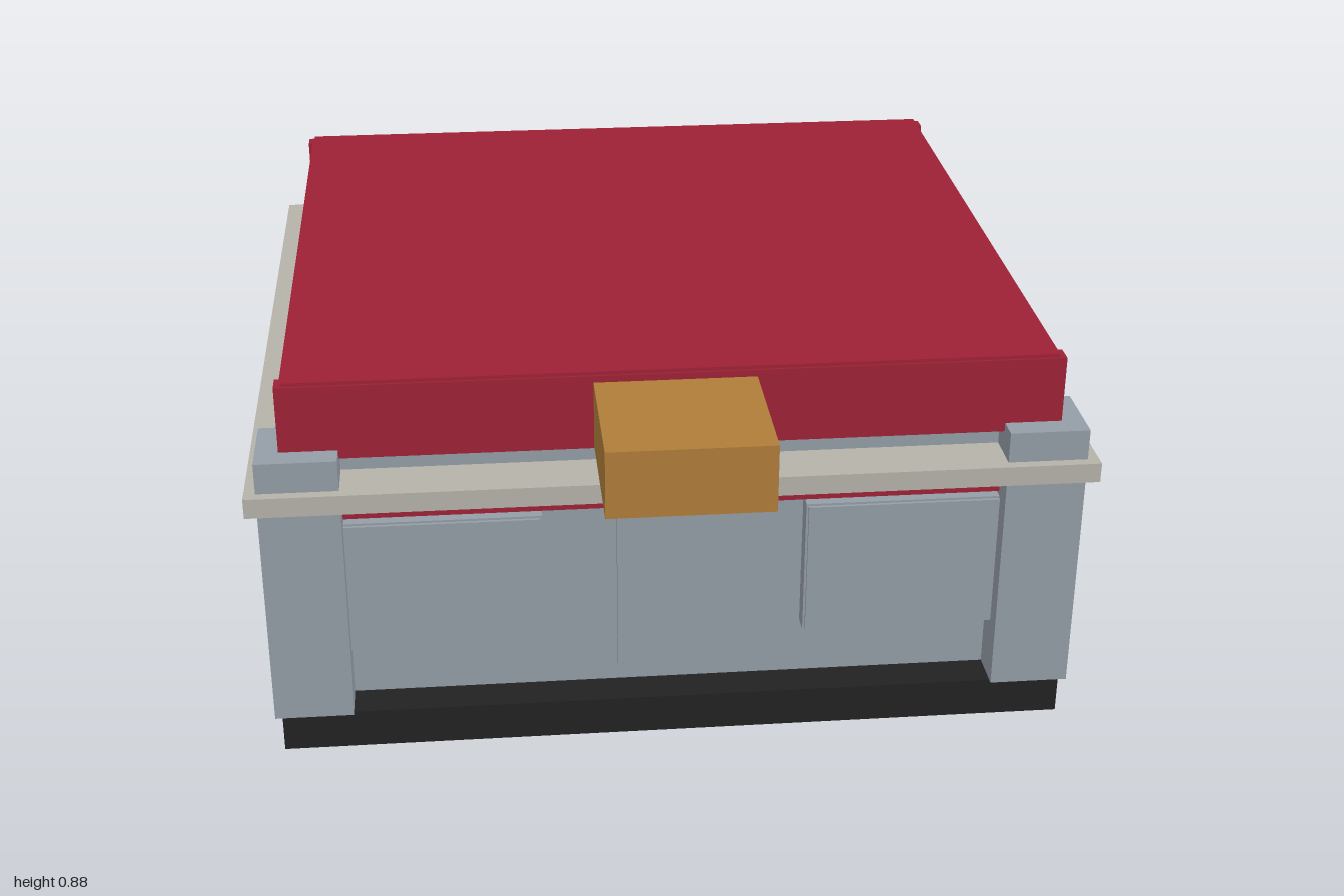
import * as THREE from 'three';

const mat = (name, color) => {
  const m = new THREE.MeshStandardMaterial({ color });
  m.name = name;
  return m;
};

export function createModel() {
  const model = new THREE.Group();
  model.name = 'building';
  const red = mat('red', 0x9d2135);
  const grey = mat('blue grey', 0x949da6);
  const stone = mat('stone', 0xb5b2a9);
  const black = mat('black', 0x222222);
  const gold = mat('gold', 0xb07d3a);

  // Box given by its lower and upper limits on each axis
  const box = (name, m, x0, x1, y0, y1, z0, z1) => {
    const mesh = new THREE.Mesh(new THREE.BoxGeometry(x1 - x0, y1 - y0, z1 - z0), m);
    mesh.position.set((x0 + x1) / 2, (y0 + y1) / 2, (z0 + z1) / 2);
    mesh.name = name;
    model.add(mesh);
  };

  // Plinth, walls, stripe and ledge
  box('base', black, -0.88, 0.88, 0, 0.09, -0.96, 0.715);
  box('walls', grey, -0.8, 0.8, 0.09, 0.72, -0.87, 0.63);
  box('stripe', red, -0.835, 0.835, 0.555, 0.6, -0.915, 0.67);
  box('ledge', stone, -0.92, 0.92, 0.61, 0.655, -1, 0.75);

  // Roof with a fascia on each side
  box('roof', red, -0.83, 0.83, 0.71, 0.883, -0.915, 0.67);
  box('frontFascia', red, -0.845, 0.845, 0.705, 0.875, 0.63, 0.675);
  box('backFascia', red, -0.845, 0.845, 0.705, 0.875, -0.92, -0.875);
  for (const s of [-1, 1]) {
    const a = s * 0.79, b = s * 0.835;
    box('sideFascia', red, Math.min(a, b), Math.max(a, b), 0.705, 0.875, -0.9, 0.65);
  }

  // Projecting sign block
  box('signBlock', gold, -0.175, 0.175, 0.71, 0.86, 0.64, 1);

  // Front corner pillars, front windows and side windows
  for (const s of [-1, 1]) {
    const mirrored = (name, a, b, ...rest) =>
      box(name, grey, Math.min(s * a, s * b), Math.max(s * a, s * b), ...rest);
    mirrored('pillar', 0.72, 0.895, 0.09, 0.725, 0.555, 0.727);
    mirrored('frontWindow', 0.29, 0.755, 0.225, 0.545, 0.62, 0.675);
    mirrored('frontPane', 0.295, 0.75, 0.23, 0.54, 0.675, 0.682);
    for (const z of [0.383, -0.12, -0.623]) {
      mirrored('sideWindow', 0.79, 0.843, 0.225, 0.545, z - 0.222, z + 0.222);
      mirrored('sidePane', 0.843, 0.85, 0.23, 0.54, z - 0.217, z + 0.217);
    }
  }

  // Back windows
  for (const x of [-0.53, 0, 0.53]) {
    box('backWindow', grey, x - 0.235, x + 0.235, 0.225, 0.545, -0.918, -0.86);
    box('backPane', grey, x - 0.23, x + 0.23, 0.23, 0.54, -0.925, -0.918);
  }

  // Door
  box('door', grey, -0.125, 0.125, 0.135, 0.52, 0.62, 0.645);

  return model;
}
